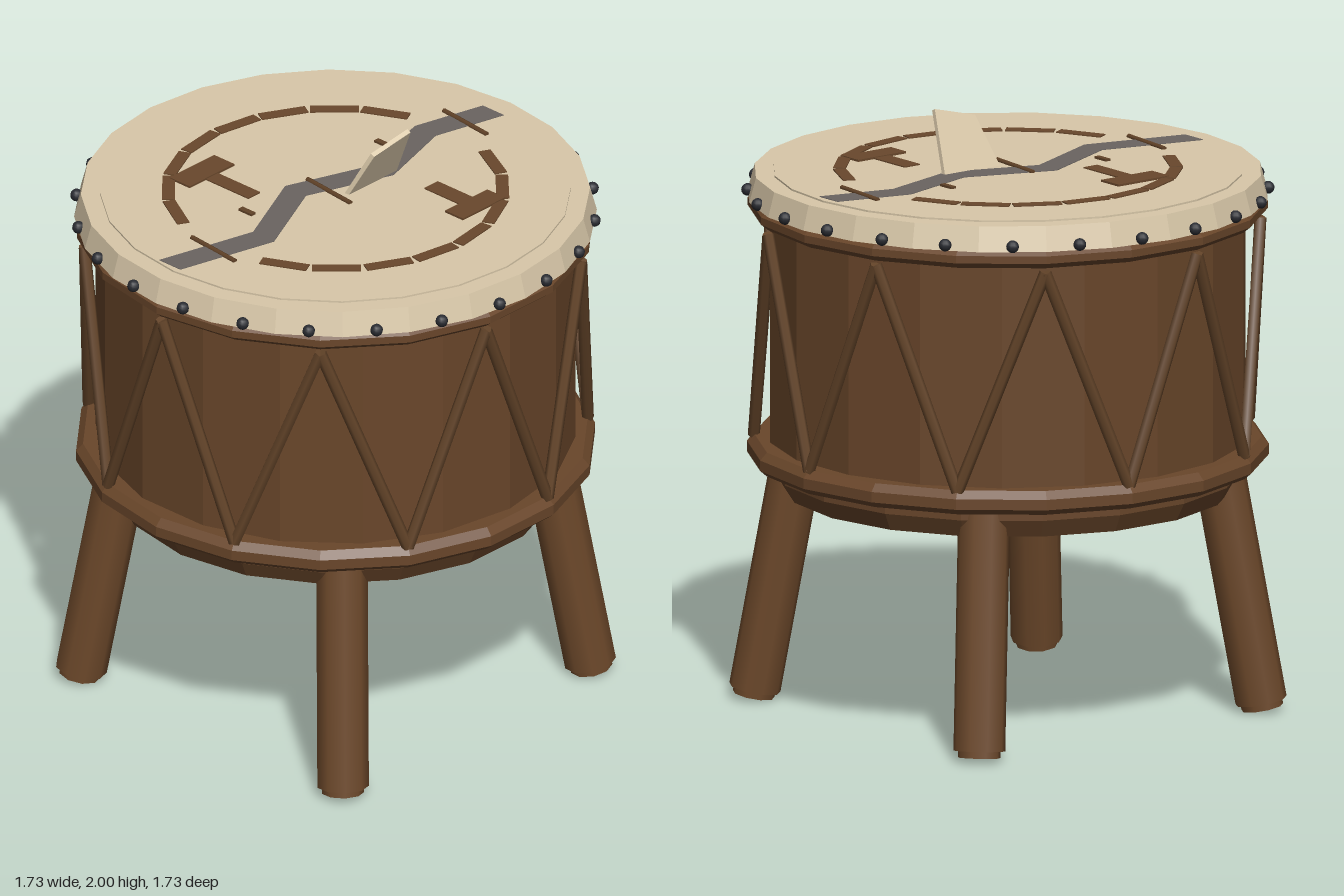
import * as THREE from 'three';

const mat = (name, color, extra = {}) => {
  const m = new THREE.MeshStandardMaterial({ color, ...extra });
  m.name = name;
  return m;
};

export function createModel() {
  const wood = mat('wood', 0x69462a, { flatShading: true });
  const pole = mat('pole wood', 0x6c482a);
  const lace = mat('lace brown', 0x624328);
  const floorBrown = mat('floor brown', 0x563d29);
  const hide = mat('hide', 0xd9c8a9, { flatShading: true, side: THREE.DoubleSide });
  const crackGrey = mat('crack grey', 0x6a6461);
  const paint = mat('brown paint', 0x69482c);
  const iron = mat('iron', 0x2a2c32);

  const drum = new THREE.Group();
  drum.name = 'drum';
  const add = (parent, name, geometry, material, x = 0, y = 0, z = 0) => {
    const mesh = new THREE.Mesh(geometry, material);
    mesh.name = name;
    mesh.position.set(x, y, z);
    parent.add(mesh);
    return mesh;
  };
  const part = (name) => {
    const g = new THREE.Group();
    g.name = name;
    drum.add(g);
    return g;
  };
  // Round bar between two points
  const bar = (parent, name, a, b, r, sides, material) => {
    const dir = b.clone().sub(a);
    const mesh = add(parent, name, new THREE.CylinderGeometry(r, r, dir.length(), sides), material);
    mesh.position.copy(a).addScaledVector(dir, 0.5);
    mesh.quaternion.setFromUnitVectors(new THREE.Vector3(0, 1, 0), dir.normalize());
    return mesh;
  };
  // Closed ring turned from [radius, height] pairs, listed bottom to top around the outside
  const ring = (name, points, sides, material) => {
    const profile = [...points, points[0]].map(([r, y]) => new THREE.Vector2(r, y));
    const mesh = add(drum, name, new THREE.LatheGeometry(profile, sides), material);
    mesh.rotation.y = Math.PI / 2;
    return mesh;
  };
  const polar = (r, deg, y) => {
    const t = THREE.MathUtils.degToRad(deg);
    return new THREE.Vector3(r * Math.cos(t), y, r * Math.sin(t));
  };

  // Barrel, hoops and recessed floor
  add(drum, 'barrel', new THREE.CylinderGeometry(0.785, 0.785, 0.87, 18, 1, true), wood, 0, 1.275);
  ring('upperHoop', [[0.76, 1.65], [0.825, 1.65], [0.85, 1.67], [0.85, 1.695], [0.82, 1.72], [0.76, 1.72]], 18, wood);
  ring('lowerHoop', [[0.76, 0.825], [0.83, 0.825], [0.853, 0.845], [0.853, 0.88], [0.83, 0.905], [0.76, 0.905]], 18, wood);
  ring('baseHoop', [[0.66, 0.83], [0.645, 0.78], [0.66, 0.73], [0.735, 0.73], [0.768, 0.79], [0.768, 0.84]], 18, wood);
  add(drum, 'floor', new THREE.CylinderGeometry(0.7, 0.7, 0.03, 18), floorBrown, 0, 0.815);

  // Stretched hide
  add(drum, 'hide', new THREE.CylinderGeometry(0.832, 0.854, 0.082, 24), hide, 0, 1.752);
  add(drum, 'hideCentre', new THREE.CylinderGeometry(0.77, 0.77, 0.012, 24), hide, 0, 1.793);

  // Nails around the rim
  const nails = part('nails');
  for (let i = 0; i < 24; i++) {
    const p = polar(0.85, 7.5 + i * 15, 1.73);
    add(nails, 'nail', new THREE.SphereGeometry(0.021, 10, 8), iron, p.x, p.y, p.z);
  }

  // Zigzag lacing
  const lacing = part('lacing');
  const knot = (i) => (i % 2 ? polar(0.825, i * 20, 1.635) : polar(0.83, i * 20, 0.9));
  for (let i = 0; i < 18; i++) bar(lacing, 'lace', knot(i), knot(i + 1), 0.02, 6, lace);

  // Splayed legs with narrower feet
  const legs = part('legs');
  for (const sx of [-1, 1]) for (const sz of [-1, 1]) {
    const at = (d, y) => new THREE.Vector3(sx * d, y, sz * d);
    bar(legs, 'leg', at(0.588, 0.035), at(0.478, 0.9), 0.086, 9, pole);
    bar(legs, 'foot', at(0.591, 0.013), at(0.588, 0.037), 0.07, 9, pole);
  }

  // Crack across the hide
  const spine = [[-0.75, -0.035], [-0.4, 0.055], [-0.1, -0.085], [0.2, 0.025], [0.49, -0.06], [0.745, 0.005]];
  const outline = [
    ...spine.map(([x, z]) => new THREE.Vector2(x, -z + 0.047)),
    ...spine.slice().reverse().map(([x, z]) => new THREE.Vector2(x, -z - 0.047)),
  ];
  const crack = add(drum, 'crack',
    new THREE.ExtrudeGeometry(new THREE.Shape(outline), { depth: 0.003, bevelEnabled: false }), crackGrey, 0, 1.798);
  crack.rotation.x = -Math.PI / 2;

  // Torn flap standing up beside the crack
  const flapShape = new THREE.Shape([[0, 0], [0.23, 0], [0.193, 0.225], [0.04, 0.183]].map(([x, y]) => new THREE.Vector2(x, y)));
  const flap = add(drum, 'tornFlap',
    new THREE.ExtrudeGeometry(flapShape, { depth: 0.016, bevelEnabled: false }), hide, 0, 1.797, 0.04);
  flap.rotation.x = Math.atan2(0.1, 0.2);

  // Stitches over the crack
  const stitches = part('stitches');
  for (const x of [-0.577, -0.028, 0.62]) {
    bar(stitches, 'stitch', new THREE.Vector3(x + 0.011, 1.801, -0.11), new THREE.Vector3(x - 0.011, 1.801, 0.105), 0.009, 6, lace);
  }
  for (const x of [-0.315, 0.33]) add(stitches, 'shortStitch', new THREE.BoxGeometry(0.02, 0.009, 0.058), lace, x, 1.802, -0.1);

  // Painted broken circle and two T-shaped marks
  const marks = part('paintedMarks');
  const plate = (name, x, z, w, d, y = 1.799) => add(marks, name, new THREE.BoxGeometry(w, 0.008, d), paint, x, y, z);
  for (let i = 0; i < 8; i++) {
    for (const deg of [27 + i * 18.2, -26 - i * 17.8]) {
      const p = polar(0.545, deg, 0);
      plate('dash', p.x, p.z, 0.16, 0.042).rotation.y = Math.PI / 2 - THREE.MathUtils.degToRad(deg);
    }
  }
  plate('backCrossbar', -0.217, -0.395, 0.212, 0.09, 1.802);
  plate('backStem', -0.217, -0.255, 0.057, 0.19);
  plate('frontCrossbar', 0.23, 0.41, 0.2, 0.08, 1.802);
  plate('frontStem', 0.232, 0.29, 0.064, 0.16);

  return drum;
}
